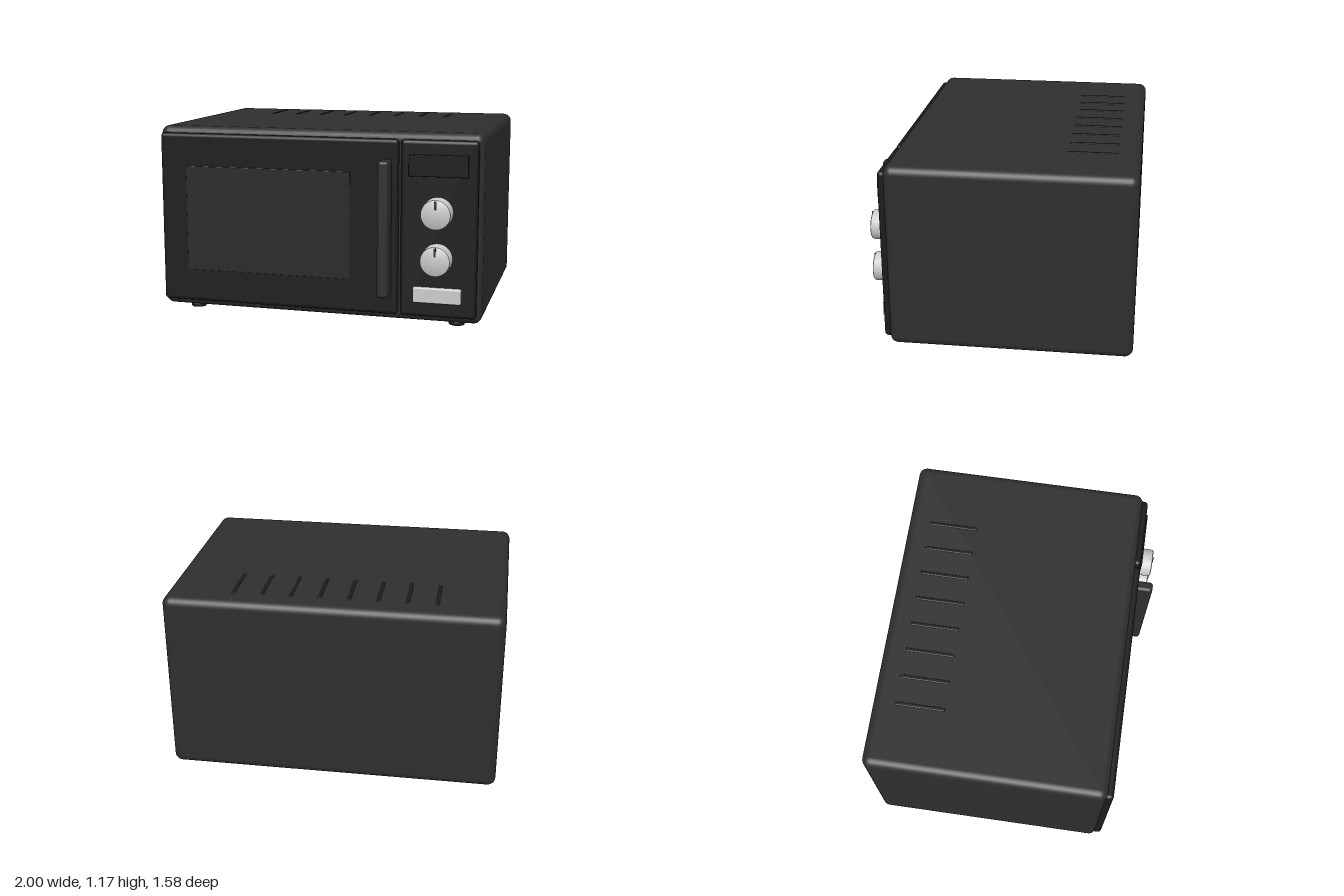
import * as THREE from 'three';
import { RoundedBoxGeometry } from 'three/addons/geometries/RoundedBoxGeometry.js';
import { toCreasedNormals } from 'three/addons/utils/BufferGeometryUtils.js';

const mat = (color) => new THREE.MeshStandardMaterial({ color });
const shell = mat(0x2d2e30);
const frontBlack = mat(0x1a1b1d);
const glass = mat(0x27282b);
const dark = mat(0x111214);
const metal = mat(0xcccccc);

export function createModel() {
  const model = new THREE.Group();

  const add = (name, geometry, material, x = 0, y = 0, z = 0) => {
    const mesh = new THREE.Mesh(geometry, material);
    mesh.name = name;
    mesh.position.set(x, y, z);
    model.add(mesh);
    return mesh;
  };

  // Rounded block given by its limits on each axis
  const block = (name, [x0, x1], [y0, y1], [z0, z1], radius, material) =>
    add(name, new RoundedBoxGeometry(x1 - x0, y1 - y0, z1 - z0, 4, radius), material,
      (x0 + x1) / 2, (y0 + y1) / 2, (z0 + z1) / 2);

  // Solid turned from a half profile of [radius, height] points
  const turned = (points, segments) => toCreasedNormals(
    new THREE.LatheGeometry(points.map(([r, h]) => new THREE.Vector2(r, h)), segments), 0.6);

  // Cabinet, door and control panel
  block('cabinet', [-1, 1], [0.045, 1.17], [-0.79, 0.657], 0.05, shell);
  block('door', [-0.983, 0.505], [0.085, 1.13], [0.63, 0.692], 0.022, frontBlack);
  block('controlPanel', [0.52, 0.972], [0.085, 1.13], [0.63, 0.692], 0.022, frontBlack);

  // Door window and upright handle
  block('doorWindow', [-0.817, 0.217], [0.285, 0.932], [0.68, 0.696], 0.003, glass);
  block('doorHandle', [0.4, 0.468], [0.203, 1.013], [0.67, 0.79], 0.022, shell);

  // Blank display and push button
  block('display', [0.57, 0.917], [0.92, 1.046], [0.68, 0.704], 0.003, dark);
  block('pushButton', [0.602, 0.888], [0.174, 0.267], [0.67, 0.717], 0.01, metal);

  // Dials with a small pointer near the rim
  const dialGeometry = turned(
    [[0, 0], [0.09, 0], [0.088, 0.087], [0.086, 0.094], [0.08, 0.098], [0, 0.098]], 48);
  for (const y of [0.713, 0.44]) {
    add('dial', dialGeometry, metal, 0.743, y, 0.687).rotation.x = Math.PI / 2;
    add('dialPointer', new THREE.BoxGeometry(0.013, 0.05, 0.012), shell, 0.743, y + 0.056, 0.784);
  }

  // Row of vent slots at the back of the top
  const slot = new RoundedBoxGeometry(0.025, 0.02, 0.3, 3, 0.008);
  for (let i = 0; i < 8; i++) {
    add('ventSlot', slot, frontBlack, -0.603 + i * 0.1715, 1.163, -0.505);
  }

  // Feet
  const footGeometry = turned(
    [[0, 0], [0.046, 0], [0.049, 0.005], [0.049, 0.022], [0.036, 0.042], [0.034, 0.06], [0, 0.06]], 24);
  for (const x of [-0.835, 0.835]) {
    for (const z of [0.495, -0.625]) add('foot', footGeometry, frontBlack, x, 0, z);
  }

  return model;
}
